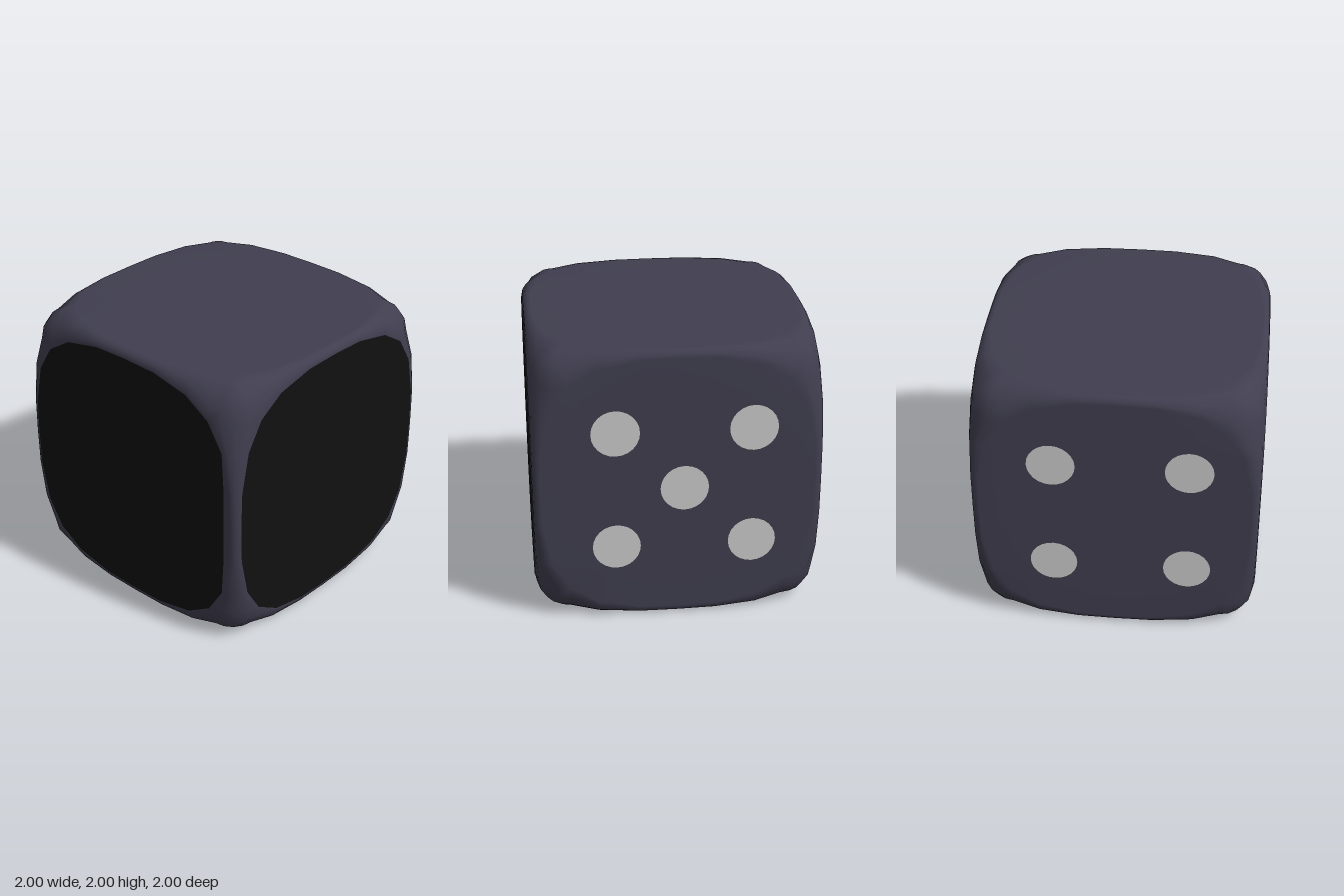
import * as THREE from 'three';
import { mergeVertices } from 'three/addons/utils/BufferGeometryUtils.js';

// Half of one side of the rounded-square face outline: [along edge, distance from centre]
const HALF = [[0, 0.945], [0.27, 0.938], [0.56, 0.877], [0.755, 0.755]];
const SIDE = [...HALF.slice(1).reverse().map(([t, w]) => [-t, w]), ...HALF];
const CORNER = 0.755;
const ARC = 4;

// Closed counter-clockwise outline of one face
function faceOutline() {
  const pts = [];
  for (let q = 0; q < 4; q++) {
    const c = Math.round(Math.cos(q * Math.PI / 2)), s = Math.round(Math.sin(q * Math.PI / 2));
    for (const [t, w] of SIDE.slice(0, -1)) pts.push([w * c - t * s, w * s + t * c]);
  }
  return pts;
}

// Cube whose edge rounding widens from the middle of each edge to the corners
function bodyGeometry() {
  const pos = [];
  const a = new THREE.Vector3(), b = new THREE.Vector3(), c = new THREE.Vector3();
  const tri = (p, q, r) => {
    a.set(...p); b.set(...q); c.set(...r);
    const n = b.clone().sub(a).cross(c.clone().sub(a));
    if (n.length() < 1e-9) return;
    pos.push(...p, ...(n.dot(a) > 0 ? [...q, ...r] : [...r, ...q]));
  };
  const grid = (rows) => {
    for (let i = 0; i + 1 < rows.length; i++) {
      for (let j = 0; j + 1 < rows[i].length; j++) {
        tri(rows[i][j], rows[i + 1][j], rows[i + 1][j + 1]);
        tri(rows[i][j], rows[i + 1][j + 1], rows[i][j + 1]);
      }
    }
  };
  // Places coordinates (u, v, w) on the axes, with w on the chosen axis
  const place = (axis, u, v, w) => {
    const p = [];
    p[axis] = w; p[(axis + 1) % 3] = u; p[(axis + 2) % 3] = v;
    return p;
  };
  const ring = faceOutline();
  ring.push(ring[0]);
  for (let axis = 0; axis < 3; axis++) {
    // Flat faces
    for (const s of [-1, 1]) {
      grid([0, 0.72, 1].map(k => ring.map(([u, v]) => place(axis, u * k, v * k, s))));
    }
    // Rounded edges running along this axis
    for (const su of [-1, 1]) for (const sv of [-1, 1]) {
      grid(SIDE.map(([t, w]) => Array.from({ length: ARC + 1 }, (_, i) => {
        const ang = i / ARC * Math.PI / 2, r = 1 - w;
        return place(axis, su * (w + r * Math.cos(ang)), sv * (w + r * Math.sin(ang)), t);
      })));
    }
  }
  // Ball corners
  const r = 1 - CORNER;
  for (const sx of [-1, 1]) for (const sy of [-1, 1]) for (const sz of [-1, 1]) {
    grid(Array.from({ length: ARC + 1 }, (_, i) => Array.from({ length: ARC + 1 }, (_, j) => {
      const th = i / ARC * Math.PI / 2, ph = j / ARC * Math.PI / 2;
      return [
        sx * (CORNER + r * Math.sin(th) * Math.cos(ph)),
        sy * (CORNER + r * Math.cos(th)),
        sz * (CORNER + r * Math.sin(th) * Math.sin(ph)),
      ];
    })));
  }
  const geo = new THREE.BufferGeometry();
  geo.setAttribute('position', new THREE.Float32BufferAttribute(pos, 3));
  const merged = mergeVertices(geo, 1e-4);
  merged.computeVertexNormals();
  return merged;
}

export function createModel() {
  const slate = new THREE.MeshStandardMaterial({ name: 'slate', color: 0x403e4f });
  const black = new THREE.MeshStandardMaterial({ name: 'black', color: 0x101010 });
  const pale = new THREE.MeshStandardMaterial({ name: 'paleGrey', color: 0xcccccc });

  const model = new THREE.Group();
  model.name = 'die';
  const add = (parent, name, geo, mat) => {
    const mesh = new THREE.Mesh(geo, mat);
    mesh.name = name;
    parent.add(mesh);
    return mesh;
  };
  add(model, 'body', bodyGeometry(), slate).position.y = 1;

  // Black panels; the front one stops short on its +x side
  const panel = (name, maxX, rotY) => {
    const pts = faceOutline().map(([x, y]) => new THREE.Vector2(Math.min(x, maxX), y));
    const geo = new THREE.ShapeGeometry(new THREE.Shape(pts));
    geo.translate(0, 0, 1.002);
    const mesh = add(model, name, geo, black);
    mesh.rotation.y = rotY;
    mesh.position.y = 1;
  };
  panel('frontPanel', 0.895, 0);
  panel('sidePanel', 1, Math.PI / 2);

  // Painted spots
  const spot = new THREE.CircleGeometry(0.167, 24);
  const U = 0.472, V = 0.43;
  const corners = [[-U, -V], [U, -V], [-U, V], [U, V]];
  const spots = (name, list, offset, rx, ry) => {
    const g = new THREE.Group();
    g.name = name;
    g.position.y = 1;
    g.rotation.set(rx, ry, 0);
    for (const [u, v] of list) add(g, 'spot', spot, pale).position.set(u + offset, v - 0.01, 1.002);
    model.add(g);
  };
  spots('backSpots', [...corners, [0, 0]], 0.04, 0, Math.PI);
  spots('sideSpots', corners, 0.04, 0, -Math.PI / 2);
  spots('bottomSpots', [...corners, [0, -V], [0, V]], -0.04, Math.PI / 2, 0);
  return model;
}
